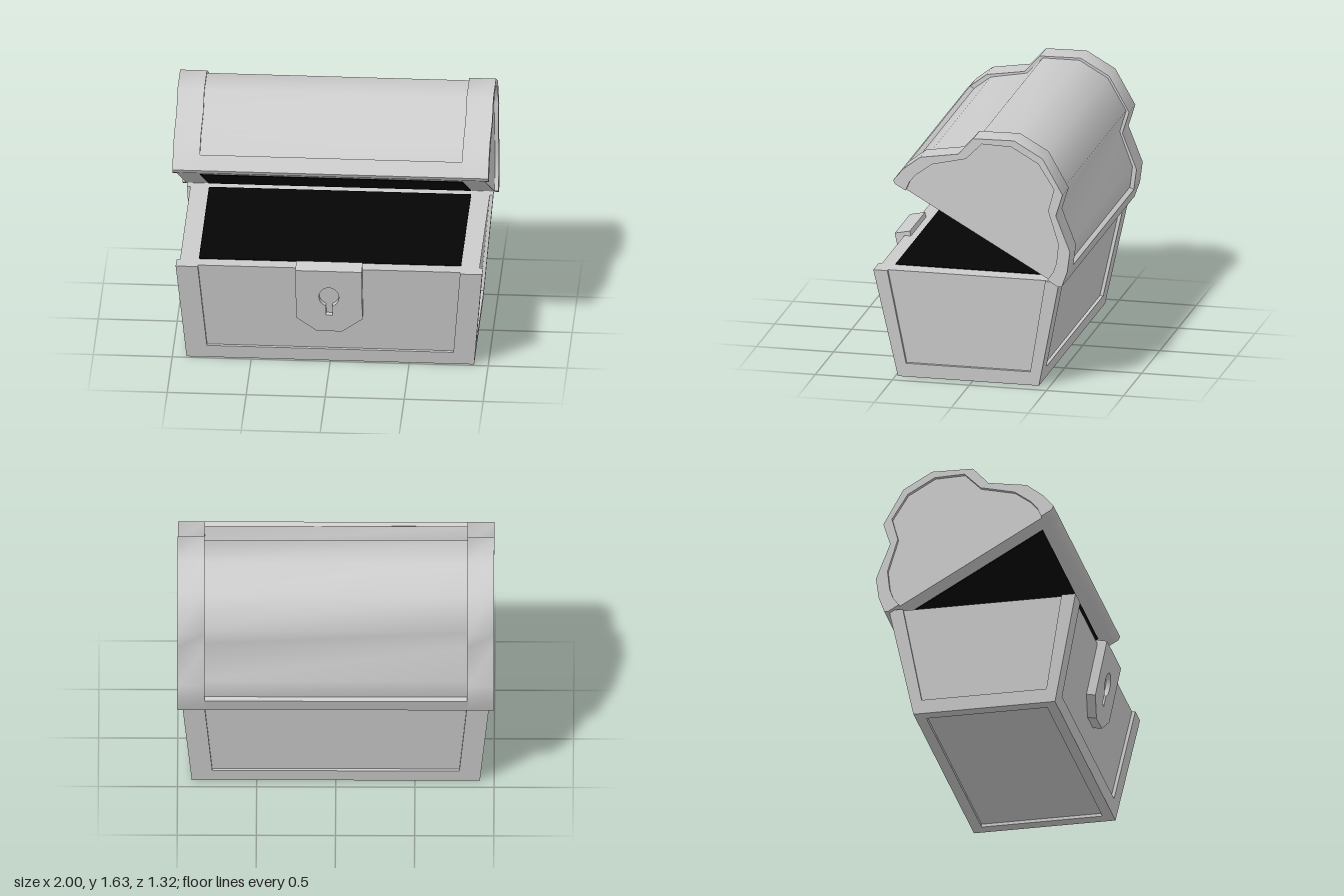
import * as THREE from 'three';
import { toCreasedNormals } from 'three/addons/utils/BufferGeometryUtils.js';

const grey = new THREE.MeshStandardMaterial({ color: 0xcccccc });
const black = new THREE.MeshStandardMaterial({ color: 0x050505 });

function add(parent, name, geometry, material = grey) {
  const mesh = new THREE.Mesh(geometry, material);
  mesh.name = name;
  parent.add(mesh);
  return mesh;
}

// Chest box: half width and half depth grow with height
const H = 0.71, MID_Z = 0.0275;
const hx = y => 0.91 + 0.06 * y / H;
const hz = y => 0.4575 + 0.1455 * y / H;
// Inner edges of the corner posts
const ix = y => 0.773 + 0.057 * y / H;
const iz = y => 0.387 + 0.1255 * y / H;

// Tapered block; bounds(y) gives [x0, x1, z0, z1] at that height
function block(y0, y1, bounds) {
  const g = new THREE.BoxGeometry(1, 1, 1).toNonIndexed();
  const p = g.attributes.position;
  for (let i = 0; i < p.count; i++) {
    const y = p.getY(i) < 0 ? y0 : y1;
    const [x0, x1, z0, z1] = bounds(y);
    p.setXYZ(i, p.getX(i) < 0 ? x0 : x1, y, (p.getZ(i) < 0 ? z0 : z1) + MID_Z);
  }
  g.computeVertexNormals();
  return g;
}
// Ordered interval on either side of the middle
const side = (s, a, b) => (s > 0 ? [a, b] : [-b, -a]);

function buildBox() {
  const box = new THREE.Group();
  box.name = 'box';
  const r = 0.022;
  add(box, 'recessedWalls', block(0.05, H, y => [r - hx(y), hx(y) - r, r - hz(y), hz(y) - r]));
  add(box, 'bottomBand', block(0.02, 0.09, y => [-hx(y), hx(y), -hz(y), hz(y)]));
  for (const s of [1, -1]) {
    add(box, 'bottomRimLong', block(0, 0.02, y => [-hx(y), hx(y), ...side(s, 0.39, hz(y))]));
    add(box, 'bottomRimShort', block(0, 0.02, y => [...side(s, 0.83, hx(y)), -0.39, 0.39]));
    for (const t of [1, -1]) {
      add(box, 'cornerPost', block(0.085, H, y => [...side(s, ix(y), hx(y)), ...side(t, iz(y), hz(y))]));
    }
  }
  const opening = add(box, 'darkOpening', new THREE.BoxGeometry(1.66, 0.01, 1.0), black);
  opening.position.set(0, H, 0.02);
  return box;
}

// Lid half profiles [distance from middle, height], from hinge line to crown
const OUTER = [[0.61, 0], [0.631, 0.015], [0.613, 0.117], [0.561, 0.243], [0.366, 0.399], [0.334, 0.543], [0.107, 0.678]];
const INNER = [[0.53, 0], [0.537, 0.063], [0.525, 0.129], [0.473, 0.246], [0.308, 0.4], [0.27, 0.543], [0.1, 0.633]];
const CORE = OUTER.map(([s, v], i) => [s + (INNER[i][0] - s) * 0.35, v + (INNER[i][1] - v) * 0.35]);

const mirrored = half => [...half, ...half.map(([s, v]) => [-s, v]).reverse()];
const shapeOf = pts => new THREE.Shape(pts.map(([a, b]) => new THREE.Vector2(a, b)));

// Extrude a profile along x, from x0 to x1
function alongX(pts, x0, x1) {
  const g = new THREE.ExtrudeGeometry(shapeOf(pts), { depth: x1 - x0, bevelEnabled: false });
  g.rotateY(-Math.PI / 2);
  g.translate(x1, 0, 0);
  return toCreasedNormals(g, 0.9);
}

function buildLid() {
  const lid = new THREE.Group();
  lid.name = 'lid';
  add(lid, 'lidPanel', alongX(mirrored(CORE), -0.975, 0.975));
  const band = [...mirrored(OUTER), ...mirrored(INNER).reverse()];
  add(lid, 'endBand', alongX(band, 0.83, 1));
  add(lid, 'endBand', alongX(band, -1, -0.83));
  for (const s of [1, -1]) {
    const lip = [[0.55, 0], ...OUTER.slice(0, 3), [0.55, 0.117]].map(([a, v]) => [a * s, v]);
    add(lid, 'lidLip', alongX(lip, -0.84, 0.84));
  }
  add(lid, 'darkUnderside', new THREE.BoxGeometry(1.66, 0.01, 1.0), black);
  // Swung open
  lid.position.set(0, 0.9935, -0.045);
  lid.rotation.x = -0.5207;
  return lid;
}

function buildLock() {
  const lock = new THREE.Group();
  lock.name = 'lock';
  const outline = [[-0.08, 0.257], [0.08, 0.257], [0.21, 0.36], [0.21, 0.737], [-0.21, 0.737], [-0.21, 0.36]];
  const layer = (name, shape, z, depth) => {
    const g = new THREE.ExtrudeGeometry(shape, { depth, bevelEnabled: false, curveSegments: 20 });
    add(lock, name, g.translate(0, 0, z));
  };
  layer('lockBack', shapeOf(outline), -0.065, 0.035);
  // Front plate with keyhole
  const plate = shapeOf(outline);
  const keyhole = new THREE.Path();
  keyhole.moveTo(-0.02, 0.385);
  keyhole.lineTo(0.02, 0.385);
  keyhole.absellipse(0, 0.53, 0.063, 0.075, -1.25, Math.PI + 1.25, false);
  keyhole.closePath();
  plate.holes.push(keyhole);
  layer('lockPlate', plate, -0.03, 0.03);
  // Hook over the rim
  add(lock, 'lockHook', new THREE.BoxGeometry(0.42, 0.045, 0.1).translate(0, 0.7145, -0.05));
  lock.position.z = 0.523;
  lock.rotation.x = 0.202;
  return lock;
}

export function createModel() {
  const chest = new THREE.Group();
  chest.name = 'chest';
  chest.add(buildBox(), buildLid(), buildLock());
  return chest;
}
